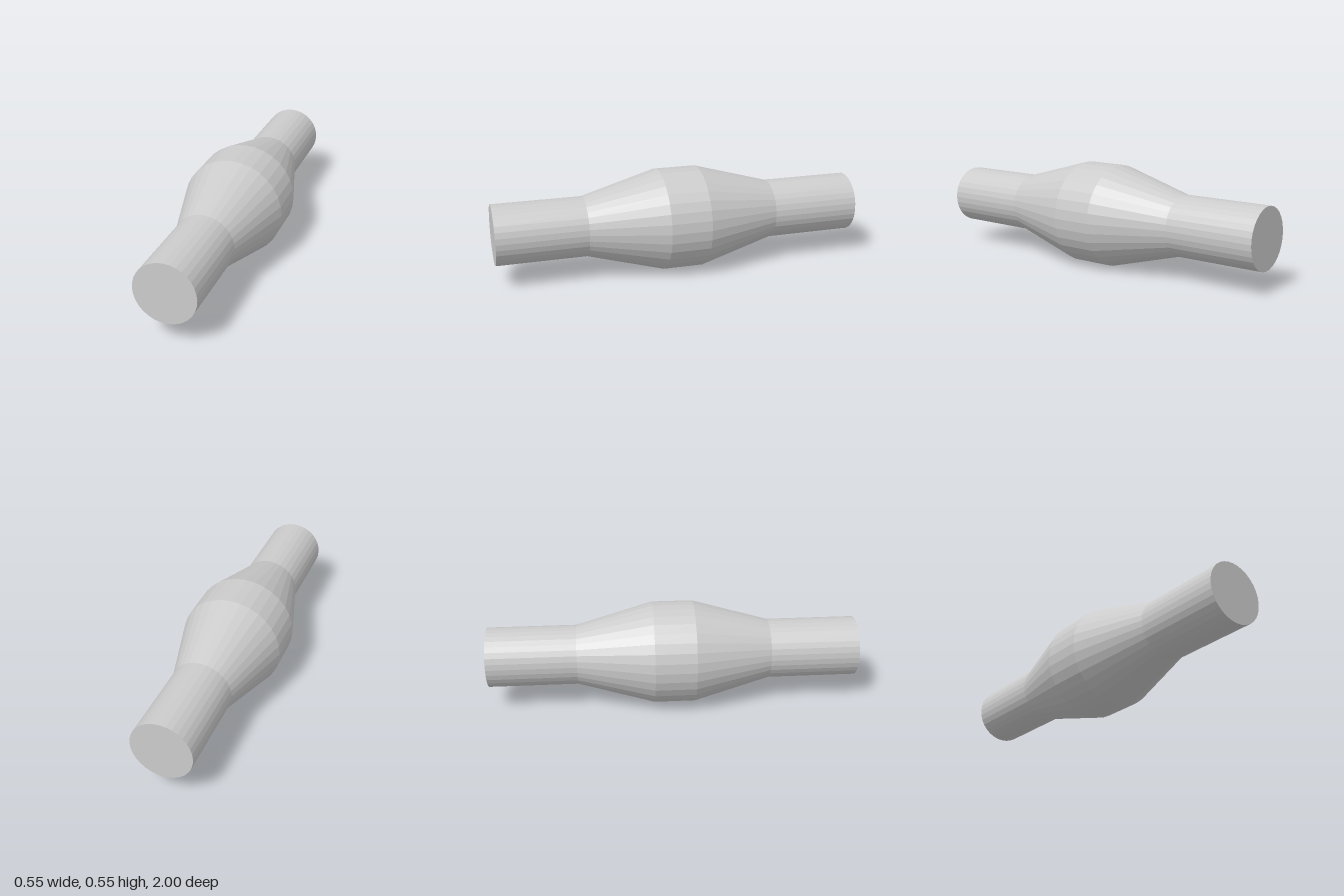
import * as THREE from 'three';

const SIDES = 32;
const PIPE_R = 0.161, BULGE_R = 0.275, HALF_LENGTH = 1;

export function createModel() {
  const group = new THREE.Group();
  group.name = 'bulgedPipe';
  const material = new THREE.MeshStandardMaterial({ color: 0xcccccc, flatShading: true });

  const add = (name, geometry) => {
    const mesh = new THREE.Mesh(geometry, material);
    mesh.name = name;
    mesh.position.y = BULGE_R;
    group.add(mesh);
    return mesh;
  };

  // Shell sections turned around the z axis: [radius, z] pairs
  const section = (name, profile) => {
    const points = profile.map(([r, z]) => new THREE.Vector2(r, z));
    add(name, new THREE.LatheGeometry(points, SIDES).rotateX(Math.PI / 2));
  };
  section('backPipe', [[PIPE_R, -HALF_LENGTH], [PIPE_R, -0.52]]);
  section('bulge', [[PIPE_R, -0.52], [BULGE_R, -0.11], [BULGE_R, 0.11], [PIPE_R, 0.52]]);
  section('frontPipe', [[PIPE_R, 0.52], [PIPE_R, HALF_LENGTH]]);

  // Flat end caps
  const disc = new THREE.CircleGeometry(PIPE_R, SIDES);
  add('frontCap', disc).position.z = HALF_LENGTH;
  const backCap = add('backCap', disc);
  backCap.position.z = -HALF_LENGTH;
  backCap.rotation.y = Math.PI;

  return group;
}
